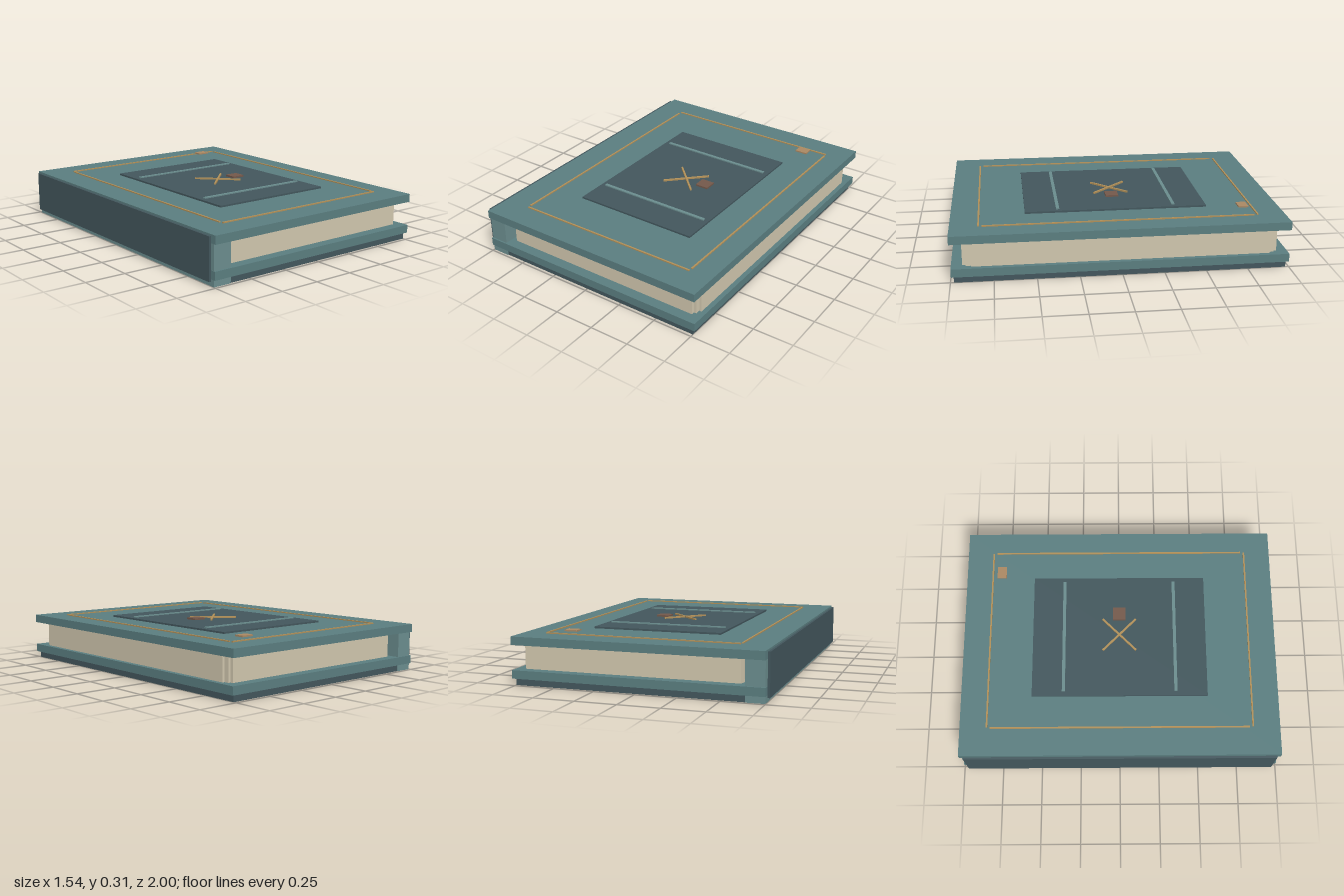
import * as THREE from 'three';

const paint = (color) => new THREE.MeshStandardMaterial({ color });

export function createModel() {
  const book = new THREE.Group();
  book.name = 'book';
  const teal = paint(0x5a7d7f), lightTeal = paint(0x6a8c8d), dark = paint(0x42565c);
  const paper = paint(0xcfc5ac), gold = paint(0xb08f58), brown = paint(0x73584a), tan = paint(0xa98762);

  // Box given by its extents along each axis
  const slab = (name, mat, [x0, x1], [y0, y1], [z0, z1]) => {
    const mesh = new THREE.Mesh(new THREE.BoxGeometry(x1 - x0, y1 - y0, z1 - z0), mat);
    mesh.position.set((x0 + x1) / 2, (y0 + y1) / 2, (z0 + z1) / 2);
    mesh.name = name;
    book.add(mesh);
    return mesh;
  };

  // Covers and base board
  slab('topCover', teal, [-0.75, 0.77], [0.24, 0.29], [-1, 1]);
  slab('bottomCover', teal, [-0.75, 0.77], [0.04, 0.09], [-0.995, 0.995]);
  slab('baseBoard', dark, [-0.635, 0.75], [0, 0.04], [-0.98, 0.98]);

  // Spine block and its outer strip
  slab('spineBlockUpper', lightTeal, [-0.748, -0.635], [0.09, 0.24], [-0.985, 0.985]);
  slab('spineBlockLower', lightTeal, [-0.748, -0.635], [0, 0.04], [-0.985, 0.985]);
  slab('spineStrip', dark, [-0.77, -0.756], [0.03, 0.283], [-0.97, 0.97]);

  // Page block with stepped corners
  [[-0.6, 0.71, 0.93], [-0.605, 0.725, 0.91], [-0.61, 0.74, 0.88]].forEach(([x0, x1, z], i) =>
    slab(`pages${i + 1}`, paper, [x0, x1], [0.09, 0.24], [-z, z]));

  // Parts mirrored front to back
  for (const s of [-1, 1]) {
    const end = s < 0 ? 'Back' : 'Front';
    const span = (z, half) => [s * z - half, s * z + half];
    slab('spineBand' + end, brown, [-0.762, -0.748], [0.14, 0.19], span(0.66, 0.04));
    slab('frameLine' + end, gold, [-0.57, 0.625], [0.29, 0.297], span(0.831, 0.005));
    slab('panelBar' + end, lightTeal, [-0.34, 0.41], [0.3, 0.308], span(0.355, 0.01));
  }

  // Long sides of the cover frame
  for (const x of [-0.573, 0.626])
    slab(x < 0 ? 'frameLineRight' : 'frameLineLeft', gold, [x - 0.005, x + 0.005], [0.29, 0.297], [-0.81, 0.81]);

  // Inset panel with crossed rods and small plates
  slab('coverPanel', dark, [-0.37, 0.44], [0.288, 0.301], [-0.555, 0.555]);
  for (const s of [-1, 1]) {
    const rod = slab('crossRod', gold, [-0.11, 0.19], [0.302, 0.312], [-0.006, 0.006]);
    rod.rotation.y = s * Math.PI / 4;
  }
  slab('panelPlate', brown, [0.14, 0.225], [0.304, 0.315], [-0.04, 0.04]);
  slab('cornerPlate', tan, [0.44, 0.52], [0.304, 0.313], [-0.8, -0.74]);

  return book;
}
